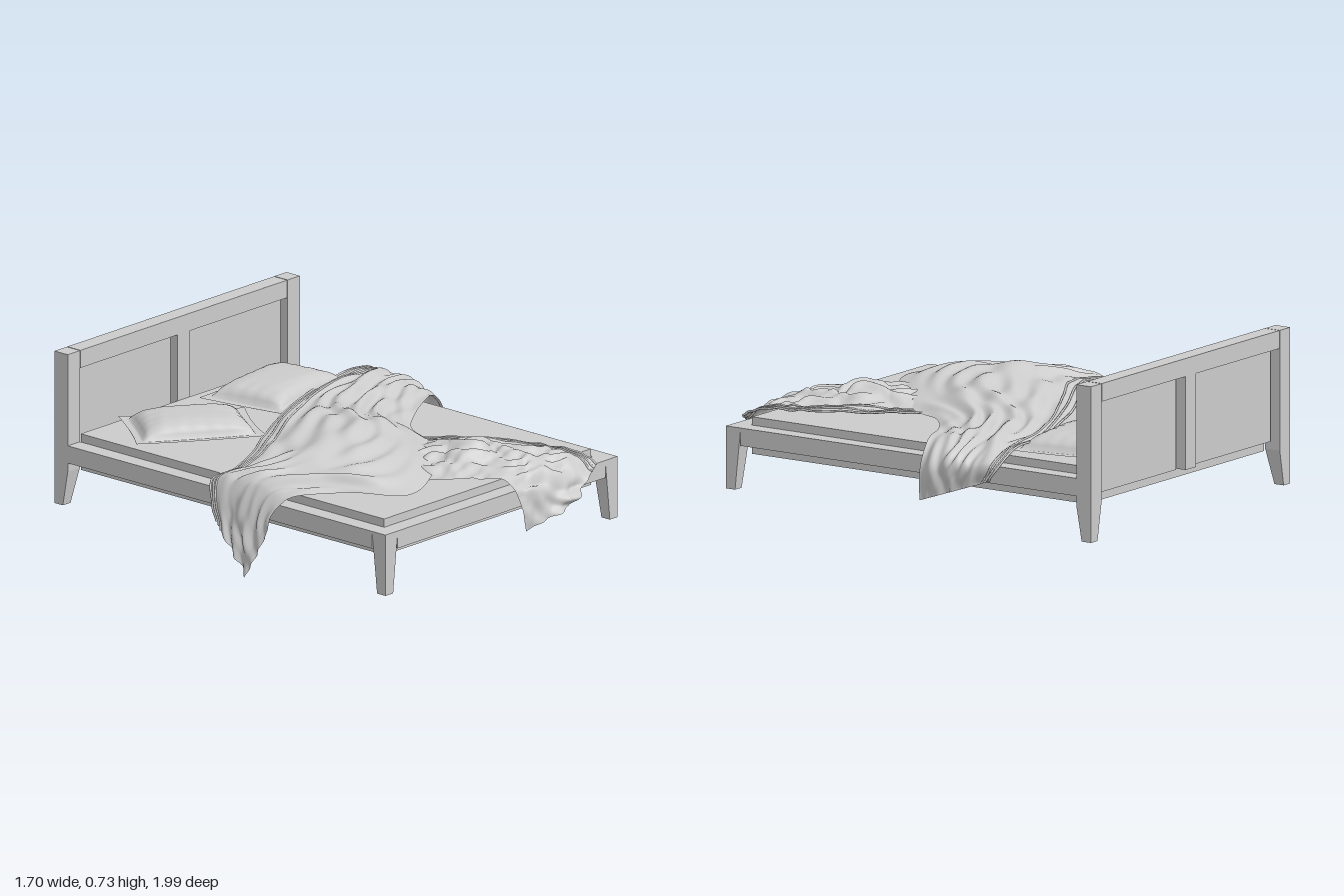
import * as THREE from 'three';
import { ParametricGeometry } from 'three/addons/geometries/ParametricGeometry.js';

const X0 = -0.755, X1 = 0.702, Z0 = -1, Z1 = 0.89, W = 0.076;
const V = (p) => new THREE.Vector3(...p);
const wood = new THREE.MeshStandardMaterial({ color: 0xcccccc });
const faceted = new THREE.MeshStandardMaterial({ color: 0xcccccc, flatShading: true });
const fabric = new THREE.MeshStandardMaterial({ color: 0xcccccc, side: THREE.DoubleSide });

function add(parent, name, geometry, material = wood) {
  const mesh = new THREE.Mesh(geometry, material);
  mesh.name = name;
  parent.add(mesh);
}

// Box given by its two extreme corners
function box(parent, name, x0, x1, y0, y1, z0, z1) {
  const g = new THREE.BoxGeometry(x1 - x0, y1 - y0, z1 - z0);
  g.translate((x0 + x1) / 2, (y0 + y1) / 2, (z0 + z1) / 2);
  add(parent, name, g);
}

// Square leg whose inner faces taper towards the foot
function leg(parent, name, side, end, top, taperY) {
  const foot = 0.055, shrink = 0.028;
  const g = new THREE.BoxGeometry(W, 2, W, 1, 2, 1);
  const p = g.attributes.position;
  const cx = side > 0 ? X1 - W / 2 : X0 + W / 2;
  const cz = end > 0 ? Z1 - W / 2 : Z0 + W / 2;
  for (let i = 0; i < p.count; i++) {
    const level = Math.round(p.getY(i));
    let x = p.getX(i), z = p.getZ(i);
    if (level < 0) {
      if (x * side < 0) x += side * shrink;
      if (z * end < 0) z += end * shrink;
    }
    p.setXYZ(i, cx + x, level > 0 ? top : level === 0 ? taperY : foot, cz + z);
  }
  add(parent, name, g, faceted);
}

// Lowest height cloth may have above the bed
function bedHeight(x, z) {
  if (x > X0 + W && x < X1 - W && z < Z1 - W) return 0.366;
  if (x > X0 && x < X1 && z < Z1) return 0.335;
  return 0;
}

// Draped sheet: rows of [one edge, other edge, offset of the middle]
function drape(parent, name, rows, folds, outward) {
  const [edgeA, edgeB, middle] = [0, 1, 2].map(
    (k) => new THREE.CatmullRomCurve3(rows.map((r) => V(r[k]))));
  const surface = (u, v, out) => {
    const q = edgeA.getPoint(u).lerp(edgeB.getPoint(u), v);
    // The middle bulges smoothly, but ends in a pointed corner
    const bulge = THREE.MathUtils.lerp(Math.sin(Math.PI * v), 1 - Math.abs(2 * v - 1),
      THREE.MathUtils.smoothstep(u, 0.85, 1));
    q.addScaledVector(middle.getPoint(u), bulge);
    // Wandering folds that fade in and out, some broad and some fine
    const wander = 2.2 * Math.sin(u * 11 + v * 4) + 1.1 * Math.sin(u * 23 - v * 7);
    const fade = 0.5 + 0.5 * Math.sin(u * 17 - v * 9 + 1);
    let d = 0.017 * fade * Math.sin(v * folds * 6.28 + wander + u * 6);
    d += 0.012 * (1 - fade) * Math.sin(v * folds * 8.7 - wander * 1.4 + u * 13);
    d += 0.005 * Math.sin(u * 37 + v * 21 + wander);
    d *= 0.3 + 0.7 * Math.sin(Math.PI * v);
    const flat = THREE.MathUtils.smoothstep(q.y, 0.24, 0.37);
    q.y += d * flat;
    q.addScaledVector(outward(q), d * (1 - flat));
    q.y = Math.max(q.y, bedHeight(q.x, q.z));
    return out.copy(q);
  };
  const g = new ParametricGeometry(surface, 150, 90);
  g.computeVertexNormals();
  add(parent, name, g, fabric);
  // Stitched welts along the first edge
  for (const v of [0.005, 0.045, 0.085]) {
    const pts = Array.from({ length: 50 }, (_, i) => surface(i / 49, v, new THREE.Vector3()));
    add(parent, name + 'Hem', new THREE.TubeGeometry(new THREE.CatmullRomCurve3(pts), 100, 0.005, 6), fabric);
  }
}

// Stuffed pillow with a flat flange, stretched over four ground corners
function pillow(parent, name, corners) {
  const [a, b, c, d] = corners.map(([x, z]) => new THREE.Vector3(x, 0, z));
  const group = new THREE.Group();
  group.name = name;
  parent.add(group);
  for (const top of [true, false]) {
    const g = new ParametricGeometry((u, v, out) => {
      const s = 2 * u - 1, t = 2 * v - 1;
      // Edges pull in slightly between the corners
      const pu = 0.5 + (s / 2) * (1 - 0.04 * (1 - t * t));
      const pv = 0.5 + (t / 2) * (1 - 0.04 * (1 - s * s));
      out.copy(a).lerp(b, pu).lerp(d.clone().lerp(c, pu), pv);
      const rise = (k) => Math.max(0, 1 - Math.pow(Math.abs(k) / 0.86, 4));
      const puff = Math.pow(rise(s) * rise(t), 0.5);
      // Puckers gather along the seam and vanish in the middle
      const seam = Math.max(Math.abs(s), Math.abs(t)) ** 3;
      const pucker = 0.004 * seam * (Math.sin(s * 23 + t * 3) + Math.sin(t * 19 - s * 4));
      const flange = 0.376 + 0.006 * s * s * t * t;
      out.y = top ? flange + 0.07 * puff + pucker * puff : flange - 0.01 * puff - 0.002;
    }, 48, 48);
    g.computeVertexNormals();
    add(group, top ? 'pillowTop' : 'pillowUnderside', g, fabric);
  }
}

export function createModel() {
  const bed = new THREE.Group();
  bed.name = 'bed';
  const frame = new THREE.Group();
  frame.name = 'frame';
  bed.add(frame);

  // Legs and rails
  for (const side of [-1, 1]) {
    leg(frame, 'frontLeg', side, 1, 0.325, 0.315);
    leg(frame, 'headboardPost', side, -1, 0.73, 0.21);
    const x = side > 0 ? X1 - W : X0;
    box(frame, 'sideRail', x, x + W, 0.248, 0.325, Z0 + W, Z1 - W);
  }
  box(frame, 'footRail', X0 + W, X1 - W, 0.248, 0.325, Z1 - W, Z1);

  // Headboard with two recessed panels either side of a stile
  box(frame, 'headboardTopRail', X0 + W + 0.004, X1 - W - 0.004, 0.652, 0.73, Z0, Z0 + W);
  box(frame, 'headboardStile', -0.065, 0.01, 0.248, 0.652, Z0, Z0 + W);
  box(frame, 'headboardPanel', -0.662, -0.086, 0.248, 0.652, Z0 + 0.036, Z0 + 0.054);
  box(frame, 'headboardPanel', 0.03, 0.606, 0.248, 0.652, Z0 + 0.036, Z0 + 0.054);

  box(bed, 'mattress', X0 + W + 0.004, X1 - W - 0.004, 0.2, 0.36, Z0 + W + 0.002, Z1 - W - 0.004);

  pillow(bed, 'leftHandPillow', [[-0.02, -0.84], [0.54, -0.92], [0.61, -0.51], [0.05, -0.44]]);
  pillow(bed, 'rightHandPillow', [[-0.44, -0.92], [0.01, -0.61], [-0.21, -0.28], [-0.67, -0.61]]);

  // Blanket thrown diagonally over the bed, hanging off both sides
  drape(bed, 'blanket', [
    [[0.84, 0.29, -0.57], [0.78, 0.15, -0.17], [0.02, 0, 0]],
    [[0.82, 0.36, -0.61], [0.77, 0.28, -0.16], [0.03, 0.02, 0]],
    [[0.66, 0.40, -0.58], [0.67, 0.38, -0.13], [0, 0.02, 0]],
    [[0.40, 0.40, -0.54], [0.45, 0.38, -0.03], [0, 0.03, 0]],
    [[0.15, 0.40, -0.45], [0.28, 0.38, 0.10], [0, 0.04, 0]],
    [[-0.10, 0.40, -0.34], [0.18, 0.38, 0.33], [0, 0.08, 0]],
    [[-0.30, 0.40, -0.23], [-0.05, 0.38, 0.54], [0, 0.09, 0]],
    [[-0.50, 0.40, -0.12], [-0.42, 0.38, 0.71], [0, 0.08, 0]],
    [[-0.66, 0.39, -0.06], [-0.58, 0.38, 0.49], [0, 0.06, 0]],
    [[-0.78, 0.37, -0.08], [-0.75, 0.36, 0.33], [0, 0.03, 0]],
    [[-0.82, 0.28, -0.04], [-0.81, 0.29, 0.29], [-0.01, -0.06, 0]],
    [[-0.83, 0.21, -0.01], [-0.82, 0.23, 0.28], [-0.01, -0.22, 0.03]],
  ], 4, (q) => new THREE.Vector3(Math.sign(q.x), 0, 0));

  // Trailing end of the blanket, falling over the foot rail
  drape(bed, 'blanketTail', [
    [[0.18, 0.38, 0.18], [-0.27, 0.38, 0.55], [0, 0.02, 0]],
    [[0.30, 0.38, 0.32], [-0.17, 0.38, 0.67], [0, 0.04, 0]],
    [[0.42, 0.38, 0.52], [-0.06, 0.38, 0.77], [0, 0.04, 0]],
    [[0.49, 0.38, 0.70], [0.02, 0.37, 0.88], [0, 0.03, 0]],
    [[0.52, 0.38, 0.82], [0.05, 0.30, 0.92], [0, 0.02, 0.03]],
    [[0.54, 0.34, 0.92], [0.08, 0.15, 0.93], [0, -0.03, 0.06]],
  ], 3, () => new THREE.Vector3(0, 0, 1));

  return bed;
}
